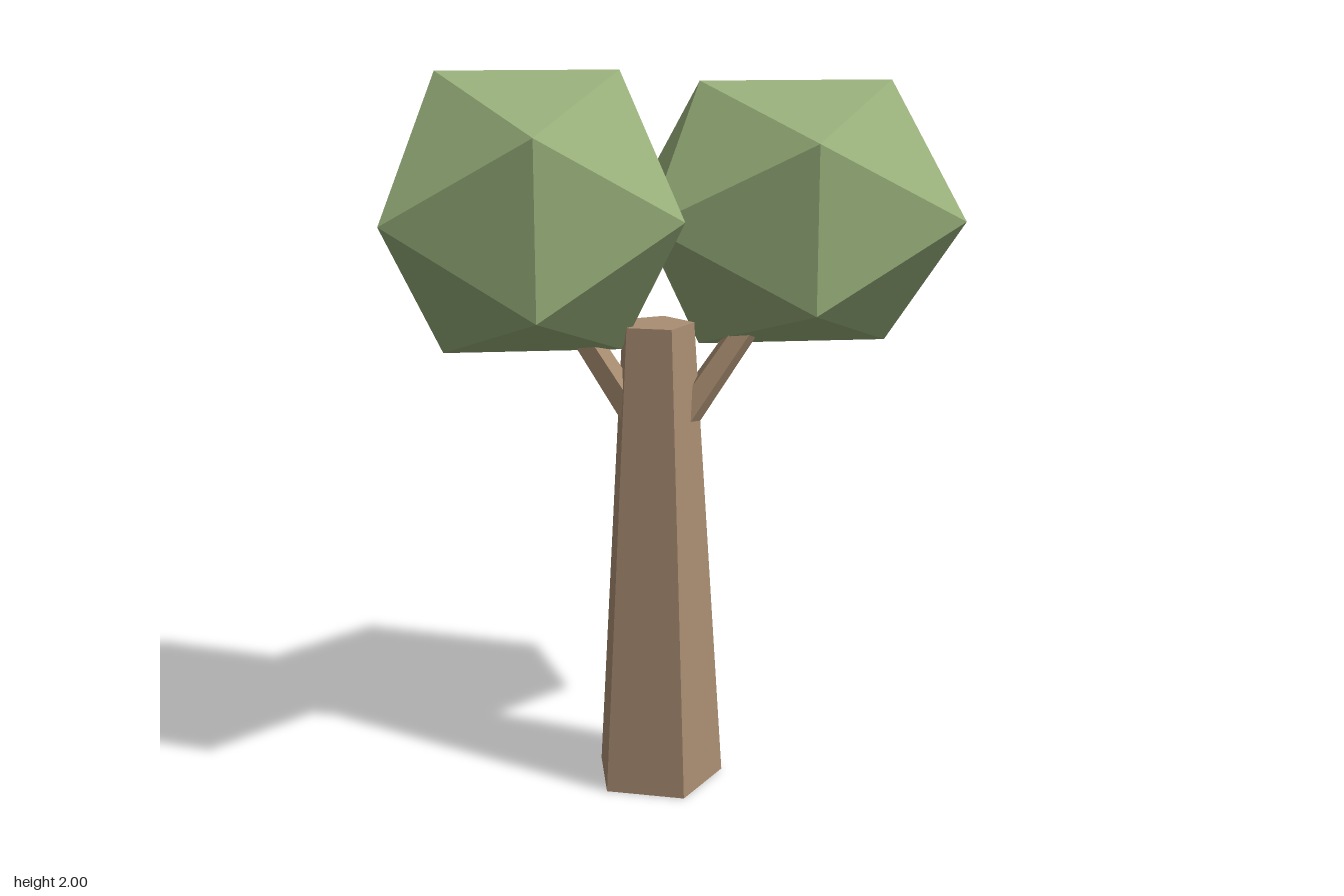
import * as THREE from 'three';

export function createModel() {
  const tree = new THREE.Group();
  tree.name = 'tree';

  const bark = new THREE.MeshStandardMaterial({ color: 0xa98d71, flatShading: true });
  bark.name = 'bark brown';
  const leaves = new THREE.MeshStandardMaterial({ color: 0x98af7a, flatShading: true });
  leaves.name = 'leaf green';

  // Five-sided tapered limb, one corner towards +x, standing on its base point
  function limb(name, rTop, rBottom, length, base, tilt = 0) {
    const geometry = new THREE.CylinderGeometry(rTop, rBottom, length, 5);
    geometry.rotateY(Math.PI / 2);
    geometry.translate(0, length / 2, 0);
    const mesh = new THREE.Mesh(geometry, bark);
    mesh.name = name;
    mesh.position.set(...base);
    mesh.rotation.z = tilt;
    tree.add(mesh);
  }

  // Faceted leaf ball, stretched per axis
  function crown(name, center, radii) {
    const mesh = new THREE.Mesh(new THREE.IcosahedronGeometry(1, 0), leaves);
    mesh.name = name;
    mesh.position.set(...center);
    mesh.scale.set(...radii);
    tree.add(mesh);
  }

  // Trunk and two branches reaching into the crowns
  limb('trunk', 0.105, 0.189, 1.325, [-0.046, 0, 0.037]);
  limb('leftBranch', 0.035, 0.048, 0.6, [-0.045, 0.95, 0.037], -0.6);
  limb('rightBranch', 0.035, 0.048, 0.55, [-0.045, 0.97, 0.037], 0.55);

  // Crowns
  crown('rightCrown', [-0.38, 1.627, 0.035], [0.457, 0.438, 0.419]);
  crown('leftCrown', [0.342, 1.608, -0.038], [0.497, 0.42, 0.419]);

  return tree;
}
